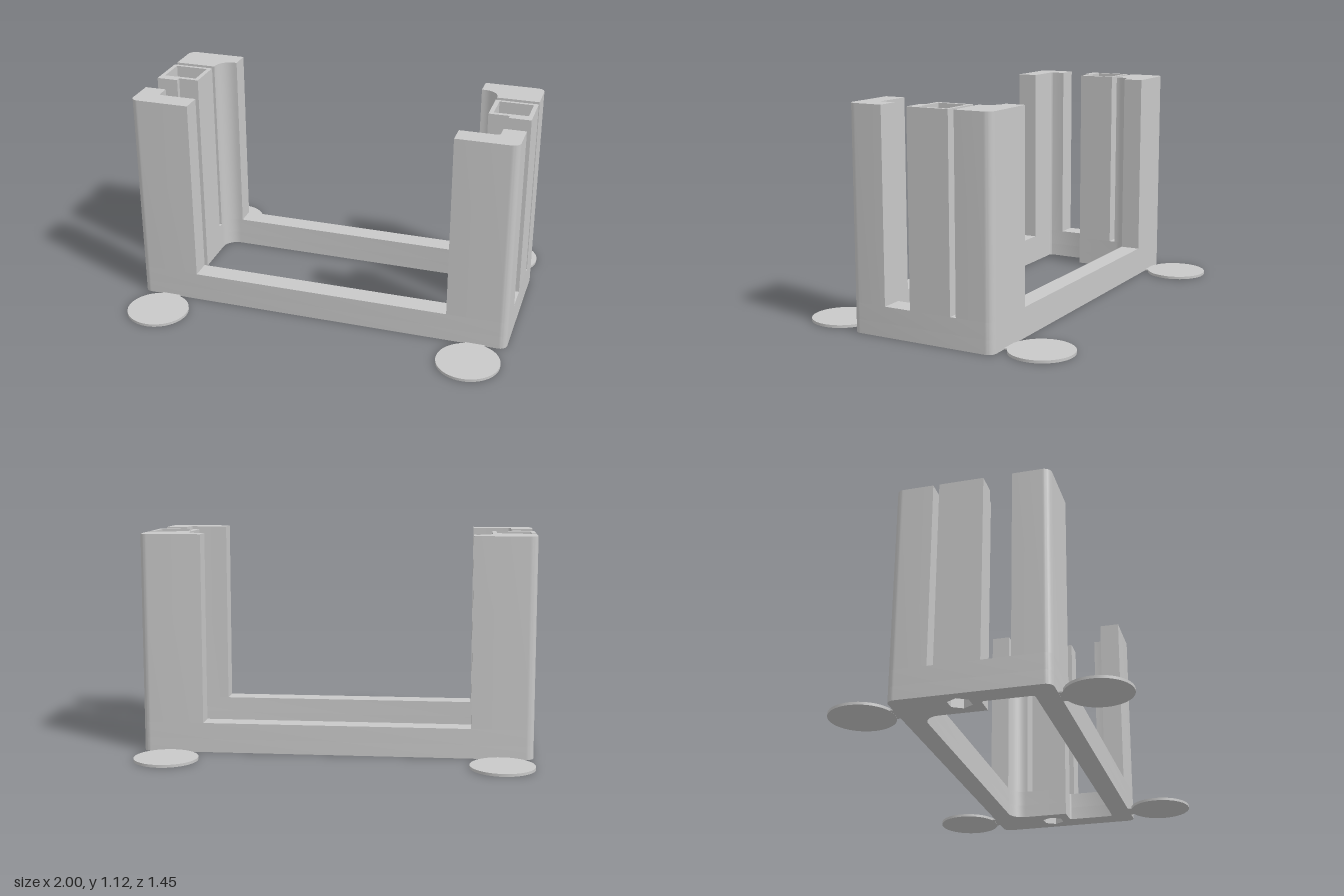
import * as THREE from 'three';
import { toCreasedNormals } from 'three/addons/utils/BufferGeometryUtils.js';

const BASE_H = 0.153, TOP = 1.122, NUT_H = 0.07, SOCKET_Y = 1.06;
const HOLE_X = 0.89, HOLE_Z = -0.07;

// Draws a closed outline from [x, z, cornerRadius] points; s mirrors it in x
function outline(target, points, s = 1) {
  const n = points.length, k = 0.5523;
  const corners = points.map(([x, z, r = 0]) => ({ v: new THREE.Vector2(x * s, -z), r }));
  // Keep every outline counter-clockwise so walls of holes face inward
  if (THREE.ShapeUtils.area(corners.map(c => c.v)) < 0) corners.reverse();
  corners.forEach(({ v, r }, i) => {
    const a = corners[(i + n - 1) % n].v.clone().sub(v).setLength(r).add(v);
    const b = corners[(i + 1) % n].v.clone().sub(v).setLength(r).add(v);
    if (i === 0) target.moveTo(a.x, a.y);
    else target.lineTo(a.x, a.y);
    if (r > 0) {
      const h1 = a.clone().lerp(v, k), h2 = b.clone().lerp(v, k);
      target.bezierCurveTo(h1.x, h1.y, h2.x, h2.y, b.x, b.y);
    }
  });
  target.closePath();
  return target;
}

// Extrudes a plan shape upward from y0 to y1
function prism(name, shape, y0, y1, material) {
  let g = new THREE.ExtrudeGeometry(shape, { depth: y1 - y0, bevelEnabled: false, curveSegments: 10 });
  g.rotateX(-Math.PI / 2);
  g.translate(0, y0, 0);
  g = toCreasedNormals(g, 0.5);
  g.clearGroups();
  const mesh = new THREE.Mesh(g, material);
  mesh.name = name;
  return mesh;
}

// Regular polygon hole around the bolt axis
function boltHole(s, radius, sides) {
  const pts = [];
  for (let i = 0; i < sides; i++) {
    const a = (i / sides) * Math.PI * 2;
    pts.push([HOLE_X + Math.cos(a) * radius, HOLE_Z + Math.sin(a) * radius]);
  }
  return outline(new THREE.Path(), pts, s);
}

// Frame plan with its large opening and one bolt hole at each end
function frameShape(radius, sides) {
  const shape = outline(new THREE.Shape(), [
    [-1, -0.39, 0.04], [1, -0.39, 0.04], [1, 0.388, 0.04], [-1, 0.388, 0.04],
  ]);
  const half = [
    [0.78, -0.287, 0.08], [0.78, 0.03], [0.887, 0.03, 0.015], [0.887, 0.28, 0.015],
  ];
  const other = half.map(([x, z, r]) => [-x, z, r]).reverse();
  shape.holes.push(outline(new THREE.Path(), [...half, ...other]));
  for (const s of [-1, 1]) shape.holes.push(boltHole(s, radius, sides));
  return shape;
}

// Plan of the middle post around a given hole
function middleShape(s, hole) {
  const shape = outline(new THREE.Shape(), [
    [0.78, -0.166], [1, -0.166], [1, 0.057],
    [0.887, 0.057], [0.887, 0.03], [0.78, 0.03],
  ], s);
  shape.holes.push(hole);
  return shape;
}

export function createModel() {
  const model = new THREE.Group();
  model.name = 'standFrame';
  const grey = new THREE.MeshStandardMaterial({ color: 0xc8c8c8 });
  grey.name = 'grey plastic';

  // Base frame: lower layer with hex nut pockets, upper layer with round holes
  model.add(prism('baseLower', frameShape(0.06, 6), 0, NUT_H, grey));
  model.add(prism('baseUpper', frameShape(0.038, 24), NUT_H, BASE_H, grey));

  for (const s of [-1, 1]) {
    const side = s > 0 ? 'left' : 'right';

    // Corner posts
    model.add(prism(side + 'BackPost', outline(new THREE.Shape(), [
      [0.685, -0.39], [1, -0.39, 0.04], [1, -0.197],
      [0.78, -0.197], [0.78, -0.287, 0.08], [0.685, -0.287],
    ], s), BASE_H, TOP, grey));
    model.add(prism(side + 'FrontPost', outline(new THREE.Shape(), [
      [0.685, 0.388], [1, 0.388, 0.04], [1, 0.2],
      [0.887, 0.2], [0.887, 0.28, 0.015], [0.685, 0.28],
    ], s), BASE_H, TOP, grey));

    // Middle post: bolt hole all the way up, square socket at the top
    const socket = outline(new THREE.Path(), [
      [0.803, -0.147], [0.978, -0.147], [0.978, 0.008], [0.803, 0.008],
    ], s);
    model.add(prism(side + 'MiddlePost', middleShape(s, boltHole(s, 0.038, 24)), BASE_H, SOCKET_Y, grey));
    model.add(prism(side + 'MiddleSocket', middleShape(s, socket), SOCKET_Y, TOP, grey));

    // Round foot pads joined to the frame by thin tabs
    for (const f of [-1, 1]) {
      const end = f > 0 ? 'Front' : 'Back';
      const pad = new THREE.Mesh(new THREE.CylinderGeometry(0.162, 0.162, 0.014, 48), grey);
      pad.position.set(s * 0.84, 0.007, f * 0.563);
      pad.name = side + end + 'Pad';
      const tab = new THREE.Mesh(new THREE.BoxGeometry(0.1, 0.006, 0.06), grey);
      tab.position.set(s * 0.84, 0.0035, f * 0.405);
      tab.name = side + end + 'Tab';
      model.add(pad, tab);
    }
  }
  return model;
}
